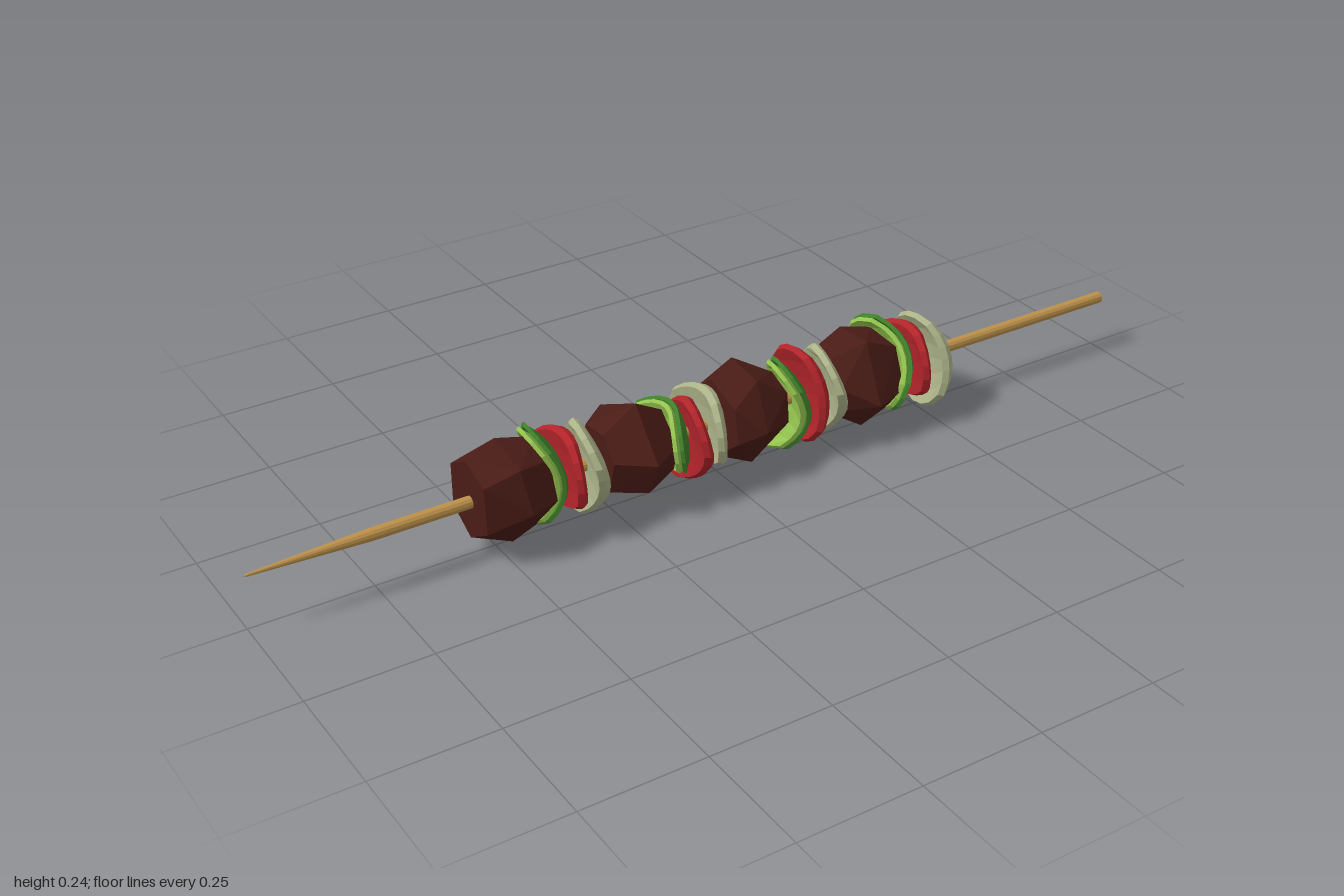
import * as THREE from 'three';
import { ConvexGeometry } from 'three/addons/geometries/ConvexGeometry.js';

const AXIS_Y = 0.116, AXIS_Z = 0.01;
const mat = (color) => new THREE.MeshStandardMaterial({ color, flatShading: true });

function seeded(seed) {
  let s = seed;
  return () => ((s = (s * 16807) % 2147483647) / 2147483647);
}

// Rounded slab bent into a shallow petal that bulges towards +x
function petalGeometry(length, width, thickness, bend) {
  const geo = new THREE.BoxGeometry(thickness, 2, 2, 2, 6, 4);
  const p = geo.attributes.position;
  for (let i = 0; i < p.count; i++) {
    const x = p.getX(i), u = p.getY(i), v = p.getZ(i);
    const y = u * Math.sqrt(1 - 0.42 * v * v);
    const z = v * Math.sqrt(1 - 0.42 * u * u);
    const rim = Math.max(Math.abs(u), Math.abs(v)) === 1 && Math.abs(x) > 1e-6 ? 0.93 : 1;
    const bow = bend * (0.5 - y * y - 0.25 * z * z);
    p.setXYZ(i, x * (1 - 0.25 * y * y) + bow, y * rim * length / 2, z * rim * width / 2);
  }
  geo.computeVertexNormals();
  return geo;
}

// Irregular faceted chunk: three uneven rings wrapped in a hull
function meatGeometry(seed, length, radii) {
  const rnd = seeded(seed), pts = [];
  radii.forEach((r, ring) => {
    const turn = rnd() * 2;
    for (let k = 0; k < 6; k++) {
      const a = turn + (k + 0.35 * (rnd() - 0.5)) * Math.PI / 3;
      const rr = r * (0.94 + 0.12 * rnd());
      const x = (ring - 1) * length / 2 + (ring === 1 ? 0.03 * (rnd() - 0.5) : 0);
      pts.push(new THREE.Vector3(x, Math.cos(a) * rr, Math.sin(a) * rr));
    }
  });
  return new ConvexGeometry(pts);
}

export function createModel() {
  const model = new THREE.Group();
  const wood = mat(0xbd914a), meat = mat(0x4a1c16), red = mat(0xb0242a);
  const skin = mat(0x3f8029), flesh = mat(0x92c24e), onion = mat(0xabb288);

  const add = (name, geo, material, x, y, z, turn = 0) => {
    const m = new THREE.Mesh(geo, material);
    m.name = name;
    m.position.set(x, y, z);
    m.rotation.x = turn;
    model.add(m);
    return m;
  };

  // Skewer with a long tapering point at -x
  const profile = [[0, -1], [0.003, -0.99], [0.0125, -0.75], [0.0125, 1], [0, 1]];
  const stick = add('skewer', new THREE.LatheGeometry(profile.map(([r, y]) => new THREE.Vector2(r, y)), 12),
    wood, 0, AXIS_Y, AXIS_Z);
  stick.rotation.z = -Math.PI / 2;

  // Meat chunks: centre x, length, ring radii, seed, turn
  [
    [-0.475, 0.15, [0.084, 0.108, 0.078], 11, 0],
    [-0.2, 0.145, [0.07, 0.107, 0.065], 57, 0.4],
    [0.068, 0.138, [0.088, 0.107, 0.065], 301, 0.9],
    [0.335, 0.145, [0.065, 0.107, 0.08], 902, 0.2],
  ].forEach(([x, len, radii, seed, turn]) =>
    add('meatChunk', meatGeometry(seed, len, radii), meat, x, 0.116, 0, turn));

  // Pepper pieces: centre x, centre y, turn; dark skin over light flesh
  [[-0.4, 0.126, 0.1], [-0.122, 0.116, 1.35], [0.16, 0.105, 0.3], [0.416, 0.126, -0.85]].forEach(([x, y, turn]) => {
    add('pepperSkin', petalGeometry(0.215, 0.15, 0.012, 0.05), skin, x + 0.007, y, 0, turn);
    add('pepperFlesh', petalGeometry(0.205, 0.142, 0.014, 0.05), flesh, x - 0.005, y, 0, turn);
  });

  // Tomato slices
  [[-0.35, 0.12, 1.3], [-0.071, 0.096, 0.85], [0.205, 0.115, -0.35], [0.465, 0.118, 1.3]].forEach(([x, y, turn]) =>
    add('tomatoSlice', petalGeometry(0.208, 0.165, 0.026, 0.02), red, x, y, 0, turn));

  // Onion pieces
  [[-0.306, 0.11, 0.5], [-0.032, 0.115, 1.35], [0.25, 0.112, 0.6], [0.518, 0.104, -0.35]].forEach(([x, y, turn]) =>
    add('onionPiece', petalGeometry(0.208, 0.165, 0.026, 0.03), onion, x, y, 0, turn));

  return model;
}
